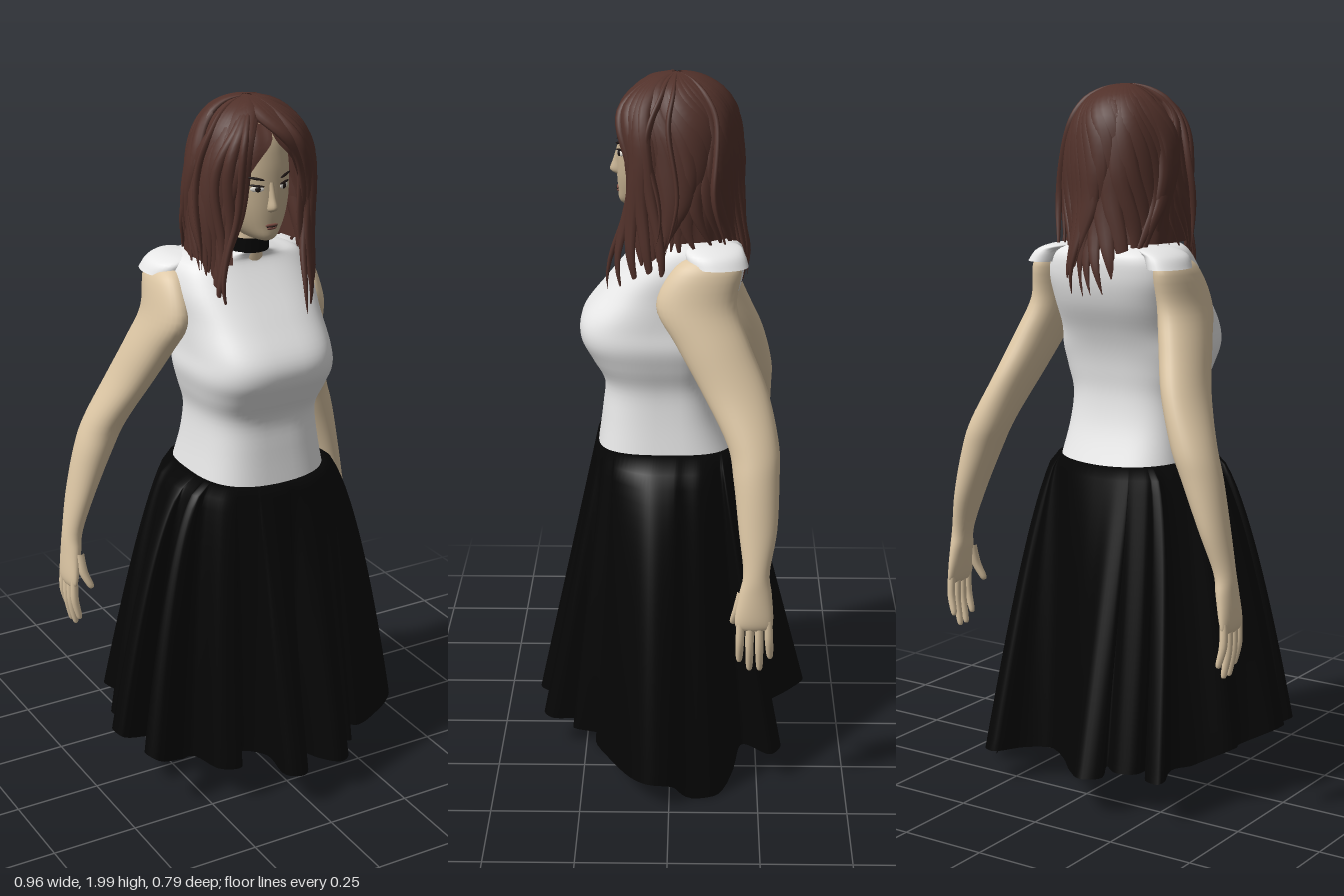
import * as THREE from 'three';

const paint = (name, color, side = THREE.FrontSide) => {
  const m = new THREE.MeshStandardMaterial({ color, side });
  m.name = name;
  return m;
};

// Smooth surface from fn(u, v), both 0..1; u runs round the form, v runs downward
function grid(fn, nu, nv, closed = true) {
  const pos = [], idx = [], cols = closed ? nu : nu + 1;
  for (let j = 0; j <= nv; j++)
    for (let i = 0; i < cols; i++) pos.push(...fn(i / nu, j / nv));
  for (let j = 0; j < nv; j++)
    for (let i = 0; i < nu; i++) {
      const a = j * cols + i, c = j * cols + ((i + 1) % cols), b = a + cols, d = c + cols;
      idx.push(a, b, c, c, b, d);
    }
  const g = new THREE.BufferGeometry();
  g.setAttribute('position', new THREE.Float32BufferAttribute(pos, 3));
  g.setIndex(idx);
  g.computeVertexNormals();
  return g;
}

// Catmull-Rom blend of rows of numbers
function blend(rows, t) {
  const n = rows.length - 1, f = t * n, k = Math.min(Math.floor(f), n - 1), s = f - k;
  const r = i => rows[Math.max(0, Math.min(n, i))];
  return rows[k].map((_, c) => {
    const a = r(k - 1)[c], b = r(k)[c], d = r(k + 1)[c], e = r(k + 2)[c];
    return b + 0.5 * s * (d - a + s * (2 * a - 5 * b + 4 * d - e + s * (3 * (b - d) + e - a)));
  });
}

const pow = (x, n) => Math.sign(x) * Math.abs(x) ** (2 / n);

// Rows, top to bottom: [y, centre x, centre z, half width, depth forward, depth back]
function loft(rows, n = 2, nu = 32, steps = 5) {
  return grid((u, v) => {
    const [y, cx, cz, rx, rf, rb] = blend(rows, v), a = u * Math.PI * 2;
    const s = pow(Math.sin(a), n), c = pow(Math.cos(a), n);
    return [cx + Math.max(rx, 0.001) * s, y, cz + Math.max(c > 0 ? rf : rb, 0.001) * c];
  }, nu, (rows.length - 1) * steps);
}

export function createModel() {
  const model = new THREE.Group();
  const skin = paint('skin', 0xdcc6a4), faceSkin = paint('face skin', 0xc4b090);
  const white = paint('white cloth', 0xe8e8e8, THREE.DoubleSide);
  const black = paint('black cloth', 0x050505, THREE.DoubleSide);
  const brown = paint('brown hair', 0x51312a, THREE.DoubleSide);
  const dark = paint('dark features', 0x1c1412), eyeWhite = paint('eye white', 0xe0dcd4);
  const lipTone = paint('lips', 0x7a4c42);
  const add = (name, geo, mat, parent = model) => {
    const m = new THREE.Mesh(geo, mat);
    m.name = name;
    parent.add(m);
    return m;
  };

  // Sleeveless top
  add('top', loft([
    [1.58, 0, 0.01, 0.052, 0.058, 0.06], [1.567, 0, -0.01, 0.1, 0.07, 0.09],
    [1.545, 0, -0.07, 0.18, 0.135, 0.12], [1.48, 0, -0.07, 0.205, 0.185, 0.135],
    [1.4, 0, -0.04, 0.2, 0.222, 0.15], [1.32, 0, 0, 0.2, 0.245, 0.155],
    [1.26, 0, 0, 0.205, 0.252, 0.135], [1.2, 0, 0, 0.192, 0.222, 0.125],
    [1.13, 0, 0, 0.174, 0.187, 0.122], [1.04, 0, 0, 0.18, 0.193, 0.14],
    [0.93, 0, 0, 0.198, 0.208, 0.185]], 3, 64), white);

  // Skirt: waist outline flowing into a deeply folded hem, given as x, z pairs
  const hemPoints = [-.03, .395, .0, .37, .02, .25, .06, .33, .11, .375, .15, .35, .155, .26, .2, .285, .235, .2,
    .27, .215, .4, .14, .48, .06, .475, .0, .435, -.04, .42, -.12, .36, -.18, .28, -.21, .33, -.29, .28, -.32,
    .22, -.25, .15, -.22, .07, -.27, -.02, -.36, -.08, -.4, -.13, -.37, -.09, -.28, -.14, -.315, -.2, -.3,
    -.21, -.24, -.25, -.33, -.31, -.34, -.27, -.22, -.32, -.16, -.4, -.1, -.38, -.04, -.46, .03, -.45, .085,
    -.33, .04, -.3, .1, -.425, .17, -.4, .215, -.27, .16, -.23, .26, -.17, .28, -.13, .2, -.07, .25, -.075, .37];
  const hemVectors = [];
  for (let i = 0; i < hemPoints.length; i += 2)
    hemVectors.push(new THREE.Vector3(hemPoints[i], 0, hemPoints[i + 1]));
  const hem = new THREE.CatmullRomCurve3(hemVectors, true);
  const skirt = (u, v) => {
    const { x, z } = hem.getPoint(u), a = Math.atan2(x, z);
    if (v === 0) return [0, 0.94, 0];
    const t = Math.max(0, (v - 1 / 25) * 25 / 24);
    const dip = Math.exp(-(((x - 0.395) / 0.06) ** 2) - ((z + 0.07) / 0.13) ** 2);
    const low = 0.105 + Math.max(0, -x - 0.3) * 0.45 - x * 0.05 - 0.115 * dip;
    const wx = 0.203 * pow(Math.sin(a), 3), wz = (z > 0 ? 0.212 : 0.188) * pow(Math.cos(a), 3);
    const top = 0.945 + 0.012 * Math.abs(Math.sin(a));
    return [wx + (x - wx) * t ** 0.55, top + (low - top) * t, wz + (z - wz) * t];
  };
  add('skirt', grid(skirt, 240, 25), black);

  // Neck, choker and head
  add('neck', loft([[1.68, 0, 0.03, 0.05, 0.05, 0.06], [1.6, 0, 0.02, 0.047, 0.05, 0.05],
    [1.54, 0, 0, 0.055, 0.06, 0.06]]), skin);
  add('choker', loft([[1.62, 0, 0.025, 0.054, 0.055, 0.056], [1.578, 0, 0.016, 0.057, 0.06, 0.058]]), black);
  const head = new THREE.Group();
  head.name = 'head';
  model.add(head);
  add('face', loft([
    [1.965, 0, 0.02, 0.002, 0.002, 0.002], [1.945, 0, 0.02, 0.06, 0.06, 0.07],
    [1.9, 0, 0.02, 0.088, 0.1, 0.11], [1.84, 0, 0.03, 0.096, 0.108, 0.12],
    [1.78, 0, 0.04, 0.094, 0.105, 0.12], [1.72, 0, 0.04, 0.088, 0.108, 0.11],
    [1.67, 0, 0.045, 0.07, 0.1, 0.09], [1.635, 0, 0.055, 0.042, 0.085, 0.07],
    [1.622, 0, 0.06, 0.015, 0.05, 0.04], [1.62, 0, 0.06, 0.001, 0.001, 0.001]], 2.1), faceSkin, head);
  add('nose', loft([[1.79, 0, 0.138, 0.008, 0.008, 0.01], [1.75, 0, 0.14, 0.011, 0.018, 0.01],
    [1.722, 0, 0.14, 0.016, 0.027, 0.01], [1.71, 0, 0.138, 0.012, 0.012, 0.01],
    [1.706, 0, 0.135, 0.001, 0.001, 0.001]], 2, 16), faceSkin, head);
  const disc = (name, mat, x, y, z, w, h, tilt = 0, turn = 0) => {
    const m = add(name, new THREE.SphereGeometry(1, 16, 10), mat, head);
    m.scale.set(w, h, 0.004);
    m.position.set(x, y, z);
    m.rotation.set(0, turn, tilt);
  };
  for (const s of [-1, 1]) {
    disc('eye', eyeWhite, s * 0.041, 1.775, 0.137, 0.019, 0.008, 0, s * 0.5);
    disc('iris', dark, s * 0.04, 1.775, 0.14, 0.008, 0.008, 0, s * 0.45);
    disc('eyelid line', dark, s * 0.042, 1.784, 0.138, 0.022, 0.003, s * 0.1, s * 0.5);
    disc('eyebrow', dark, s * 0.045, 1.804, 0.138, 0.024, 0.0035, s * 0.18, s * 0.5);
  }
  disc('upper lip', lipTone, 0, 1.673, 0.145, 0.02, 0.004);
  disc('mouth line', dark, 0, 1.669, 0.146, 0.018, 0.0018);
  disc('lower lip', lipTone, 0, 1.664, 0.144, 0.015, 0.004);

  // Arms with cap sleeves and hands, built for +x and mirrored
  const armRows = [
    [1.54, 0.185, -0.11, 0.01, 0.02, 0.02], [1.505, 0.198, -0.1, 0.045, 0.085, 0.09],
    [1.4, 0.21, -0.075, 0.058, 0.113, 0.105], [1.3, 0.24, -0.115, 0.06, 0.1, 0.1],
    [1.18, 0.28, -0.175, 0.058, 0.09, 0.09], [1.05, 0.335, -0.225, 0.06, 0.07, 0.07],
    [0.96, 0.37, -0.235, 0.055, 0.062, 0.062], [0.83, 0.412, -0.24, 0.04, 0.052, 0.052],
    [0.72, 0.442, -0.237, 0.029, 0.036, 0.036], [0.66, 0.45, -0.235, 0.026, 0.044, 0.044],
    [0.59, 0.459, -0.232, 0.02, 0.052, 0.052], [0.56, 0.462, -0.232, 0.012, 0.045, 0.045],
    [0.55, 0.462, -0.232, 0.001, 0.001, 0.001]];
  const finger = (x, y, z, x2, y2, z2, r) => loft([[y, x, z, r, r, r],
    [(y + y2) / 2, (x + x2) / 2 + 0.006, (z + z2) / 2, r, r, r],
    [y2 + 0.01, x2, z2, r * 0.75, r * 0.75, r * 0.75], [y2, x2, z2, 0.001, 0.001, 0.001]], 2, 10);
  for (const s of [-1, 1]) {
    const arm = new THREE.Group();
    arm.name = s > 0 ? 'leftArm' : 'rightArm';
    const mirror = g => {
      if (s > 0) return g;
      g.scale(-1, 1, 1);
      const i = g.index.array;
      for (let k = 0; k < i.length; k += 3) [i[k], i[k + 1]] = [i[k + 1], i[k]];
      g.computeVertexNormals();
      return g;
    };
    add('arm', mirror(loft(armRows)), skin, arm);
    for (let k = 0; k < 4; k++)
      add('finger', mirror(finger(0.461, 0.585, -0.195 - k * 0.025, 0.45, [0.45, 0.425, 0.425, 0.46][k],
        -0.193 - k * 0.028, 0.0115)), skin, arm);
    add('thumb', mirror(finger(0.44, 0.66, -0.2, 0.418, 0.55, -0.177, 0.014)), skin, arm);
    // Thin sleeve edge sloping from the shoulder seam over the arm
    add('cap sleeve', mirror(loft([[1.558, 0.14, -0.1, 0.002, 0.002, 0.002], [1.552, 0.15, -0.11, 0.04, 0.06, 0.07],
      [1.535, 0.18, -0.115, 0.05, 0.075, 0.085], [1.505, 0.197, -0.125, 0.053, 0.075, 0.085]])), white, arm);
    model.add(arm);
  }

  // Hair volume, rows: [y, half width, depth forward, depth back, half angle of face opening]
  const hairRows = [[1.992, 0.002, 0.002, 0.002, 0], [1.978, 0.05, 0.05, 0.06, 0], [1.945, 0.095, 0.1, 0.11, 0],
    [1.9, 0.128, 0.146, 0.145, 0.04], [1.84, 0.15, 0.162, 0.162, 0.38], [1.76, 0.162, 0.15, 0.17, 0.63],
    [1.68, 0.168, 0.142, 0.17, 0.68], [1.6, 0.17, 0.15, 0.178, 0.7], [1.5, 0.168, 0.175, 0.198, 0.75],
    [1.41, 0.15, 0.19, 0.195, 0.8]];
  const hairPoint = (a, v, swell = 1) => {
    const [y, rx, rf, rb] = blend(hairRows, v), c = Math.cos(a);
    return [0.014 + rx * swell * Math.sin(a), y, -0.015 + (c > 0 ? rf : rb) * swell * c];
  };
  const hair = new THREE.Group();
  hair.name = 'hair';
  model.add(hair);
  add('hair volume', grid((u, v) => {
    const t = v * 0.82, open = Math.max(0, blend(hairRows, t)[4]);
    const a = open + u * (Math.PI * 2 - 2 * open);
    return hairPoint(a, t, 0.985 + 0.012 * Math.sin(a * 17 + t * 6));
  }, 120, 30, false), brown);

  // Wavy tapered locks sweeping from the crown down over the volume
  let seed = 7;
  const rand = () => (seed = (seed * 16807) % 2147483647) / 2147483647;
  const lock = (a0, a1, end, width, wave, swell = 1, sweep = 1.7) => grid((u, v) => {
    const t = 0.03 + v * (end - 0.03), k = Math.min(1, v * sweep), ease = k * k * (3 - 2 * k);
    const a = a0 + (a1 - a0) * ease + wave * v * Math.sin(v * 9 + a1 * 5);
    const p = hairPoint(a, t, swell + 0.045 * v * Math.sin(v * 9 + a1 * 9));
    const q = u * Math.PI * 2, taper = Math.max(0.02, Math.min(1, v * 4 + 0.2) * (1 - v ** 5));
    const w = width * taper * Math.sin(q), h = 0.014 * taper * Math.cos(q);
    return [p[0] + Math.cos(a) * w + Math.sin(a) * h, p[1] + h * (1 - v) * 0.7, p[2] - Math.sin(a) * w + Math.cos(a) * h];
  }, 10, 28);
  const total = 38;
  for (let i = 0; i < total; i++) {
    const a = 0.76 + (i / (total - 1)) * (Math.PI * 2 - 1.52), c = Math.cos(a);
    const end = 0.82 + 0.14 * Math.max(0, -c) ** 3 + (c > 0.35 ? 0.09 : 0) + rand() * 0.05;
    const start = c > 0 ? (a < Math.PI ? a * 0.6 - 0.3 : a + (Math.PI * 2 - a) * 0.3) : a - 0.45;
    add('lock', lock(start, a, end, 0.024 + rand() * 0.018, 0.12 + rand() * 0.12), brown, hair);
  }
  // Fringe swept slowly across the forehead to both sides of an off-centre parting
  for (let i = 0; i < 4; i++) {
    add('fringe', lock(-0.25 + i * 0.15, 0.7 + i * 0.06, 0.72 + i * 0.04, 0.03, 0.03, 1.03, 1.35), brown, hair);
    add('fringe', lock(-0.4 - i * 0.1, -0.7 - i * 0.06, 0.64 + i * 0.07, 0.028, 0.04, 1.02, 1.4), brown, hair);
  }
  // Loose front curls, fuller on the left, and a few flyaway strands
  for (const [a, w] of [[0.62, 0.016], [0.76, 0.026], [0.9, 0.03], [1.05, 0.026], [1.2, 0.02],
    [-0.7, 0.012], [-0.85, 0.018], [-1.0, 0.016]])
    add('front curl', lock(a * 0.6, a, 1, w, 0.2, a > 0 ? 1.1 : 1.06), brown, hair);
  for (const [a, end] of [[1.2, 0.82], [1.5, 0.85], [-1.3, 0.84], [2.2, 0.88]])
    add('flyaway strand', lock(a, a, end, 0.008, 0.12, 1.1), brown, hair);
  return model;
}
